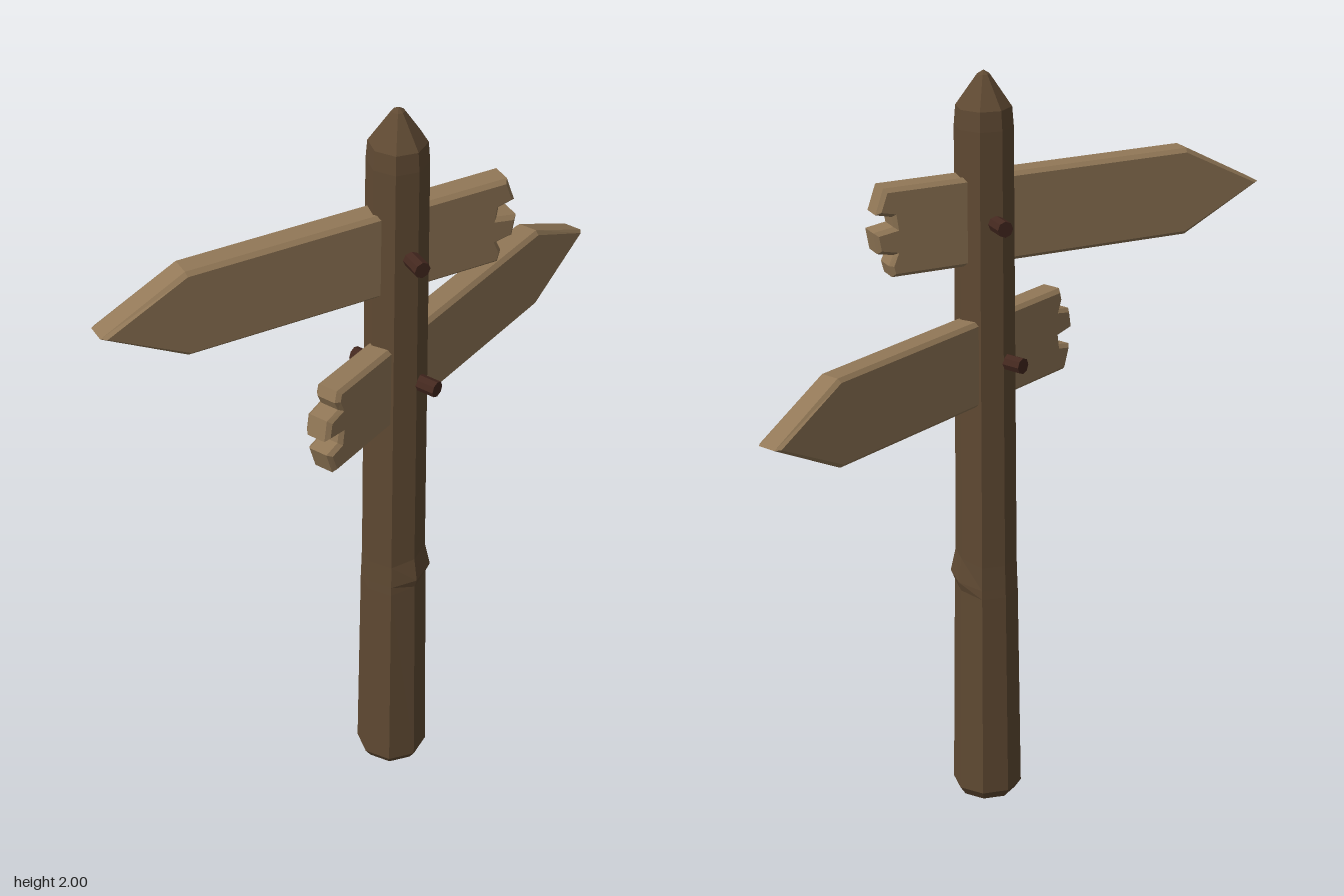
import * as THREE from 'three';

const materials = {
  post: new THREE.MeshStandardMaterial({ name: 'dark post wood', color: 0x604a33, flatShading: true }),
  board: new THREE.MeshStandardMaterial({ name: 'light board wood', color: 0x927857, flatShading: true }),
  peg: new THREE.MeshStandardMaterial({ name: 'dark red peg wood', color: 0x44281f, flatShading: true }),
};

// Eight-sided tapering post with a pointed cap and a worn ridge on one side
function createPost() {
  const profile = [
    [0, 0], [0.075, 0], [0.092, 0.025], [0.084, 0.6], [0.083, 0.625], [0.081, 0.69],
    [0.075, 1.86], [0.071, 1.91], [0.016, 1.99], [0, 2],
  ].map(([r, y]) => new THREE.Vector2(r, y));
  const geometry = new THREE.LatheGeometry(profile, 8);
  const p = geometry.attributes.position;
  for (let i = 0; i < p.count; i++) {
    const x = p.getX(i), y = p.getY(i), z = p.getZ(i);
    if (y < 0.59 || y > 0.7) continue;
    const side = Math.max(0, x / Math.hypot(x, z));
    const swell = Math.abs(y - 0.625) < 0.01 ? 1 + 0.14 * side : 1;
    p.setXYZ(i, x * swell, y + 0.02 * side, z * swell);
  }
  const post = new THREE.Mesh(geometry, materials.post);
  post.name = 'post';
  return post;
}

// Arrow board along local x: pointed at +x, broken at -x, bevelled all round
function createBoard(stretch, flip) {
  const outline = [
    [0.775, 0], [0.56, 0.115], [-0.283, 0.115], [-0.305, 0.05], [-0.262, 0.04],
    [-0.258, 0.014], [-0.312, 0.005], [-0.302, -0.05], [-0.26, -0.058],
    [-0.272, -0.085], [-0.264, -0.115], [0.56, -0.115],
  ].map(([x, y]) => new THREE.Vector2(x * stretch, y * flip));
  const bevel = 0.01, thickness = 0.07;
  const geometry = new THREE.ExtrudeGeometry(new THREE.Shape(outline), {
    depth: thickness - 2 * bevel,
    bevelEnabled: true,
    bevelThickness: bevel,
    bevelSize: bevel,
    bevelOffset: -bevel,
    bevelSegments: 1,
  });
  geometry.translate(0, 0, bevel - thickness / 2);
  const board = new THREE.Mesh(geometry, materials.board);
  board.name = 'board';
  return board;
}

// Wooden peg driven through post and board
function createPeg() {
  const geometry = new THREE.CylinderGeometry(0.021, 0.021, 0.25, 8);
  geometry.rotateX(Math.PI / 2);
  const peg = new THREE.Mesh(geometry, materials.peg);
  peg.name = 'peg';
  return peg;
}

export function createModel() {
  const model = new THREE.Group();
  model.name = 'signpost';
  model.add(createPost());

  const signs = [
    { name: 'upperSign', y: 1.625, angle: 212.3, stretch: 1, flip: 1 },
    { name: 'lowerSign', y: 1.253, angle: 58, stretch: 1.04, flip: -1 },
  ];
  for (const { name, y, angle, stretch, flip } of signs) {
    const sign = new THREE.Group();
    sign.name = name;
    sign.add(createBoard(stretch, flip), createPeg());
    sign.position.y = y;
    sign.rotation.y = THREE.MathUtils.degToRad(angle);
    model.add(sign);
  }

  // The post stands off-centre so the whole footprint is centred
  for (const part of model.children) {
    part.position.x += 0.11;
    part.position.z += 0.13;
  }
  return model;
}
